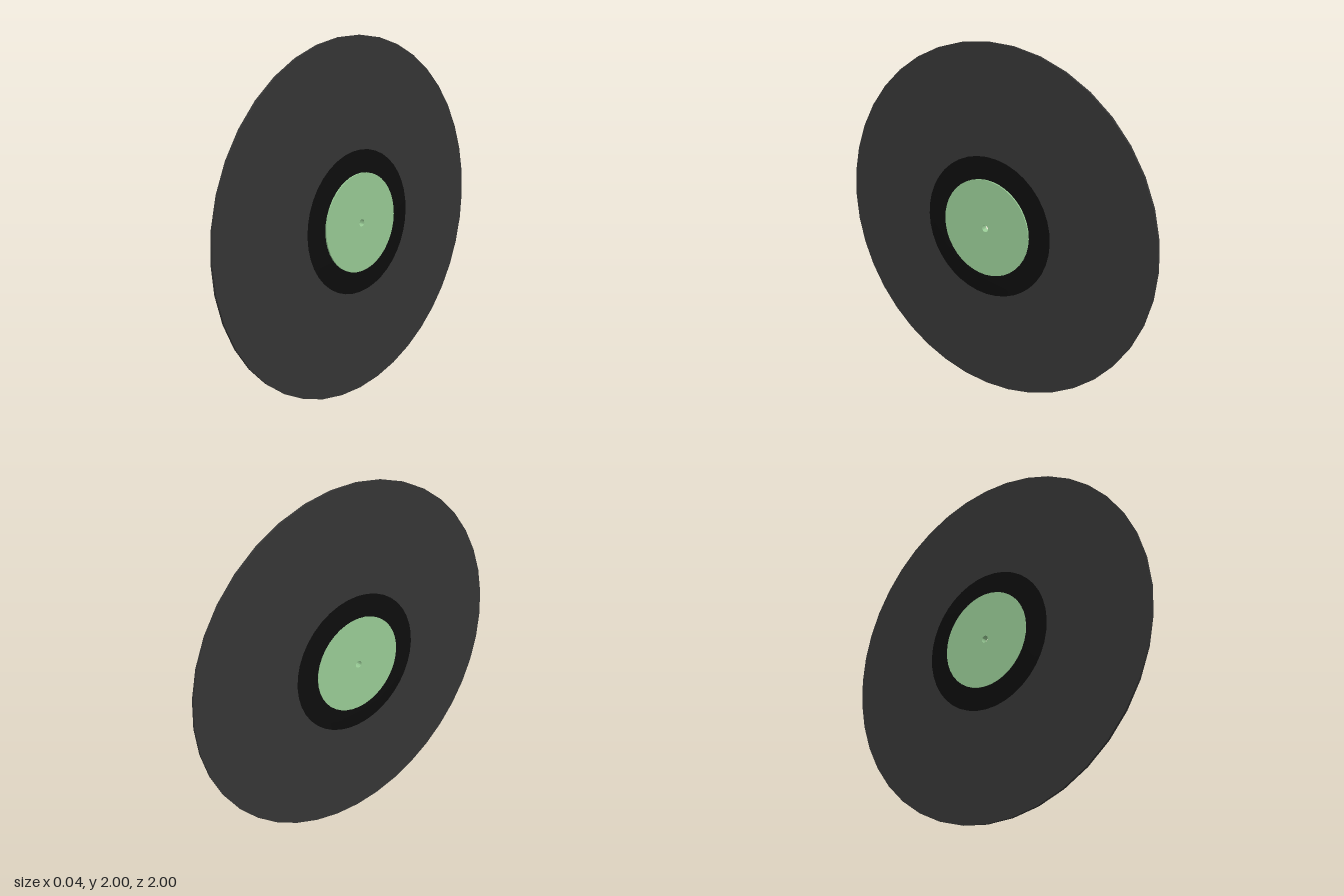
import * as THREE from 'three';
import { toCreasedNormals } from 'three/addons/utils/BufferGeometryUtils.js';

const mat = (name, color) => {
  const m = new THREE.MeshStandardMaterial({ color });
  m.name = name;
  return m;
};

// Revolves a [radius, height] outline, listed from the lower inside to the upper inside
function turned(name, outline, sides, material) {
  const points = outline.map(([r, h]) => new THREE.Vector2(r, h));
  const geometry = toCreasedNormals(new THREE.LatheGeometry(points, sides), 0.5);
  const mesh = new THREE.Mesh(geometry, material);
  mesh.name = name;
  return mesh;
}

export function createModel() {
  const vinyl = mat('charcoal vinyl', 0x353535);
  const black = mat('black', 0x0d0d0d);
  const green = mat('pale green', 0x99cc96);

  const record = new THREE.Group();
  record.name = 'record';

  // Thin playing disc
  record.add(turned('grooveDisc', [
    [0.405, -0.007], [1, -0.007], [1, 0.007], [0.405, 0.007],
  ], 40, vinyl));

  // Run-out ring, rising gently towards the label
  record.add(turned('runOutRing', [
    [0.27, -0.015], [0.28, -0.015], [0.37, -0.009], [0.405, -0.007],
    [0.405, 0.007], [0.37, 0.008], [0.28, 0.011], [0.27, 0.011],
  ], 40, black));

  // Centre label with the spindle hole, standing proud on the +x side
  record.add(turned('label', [
    [0.02, -0.017], [0.279, -0.017], [0.279, 0.019], [0.02, 0.019], [0.02, -0.017],
  ], 40, green));

  // Stand the disc upright with its axis along x
  record.rotation.z = -Math.PI / 2;
  record.position.y = 1;

  const model = new THREE.Group();
  model.name = 'uprightRecord';
  model.add(record);
  return model;
}
